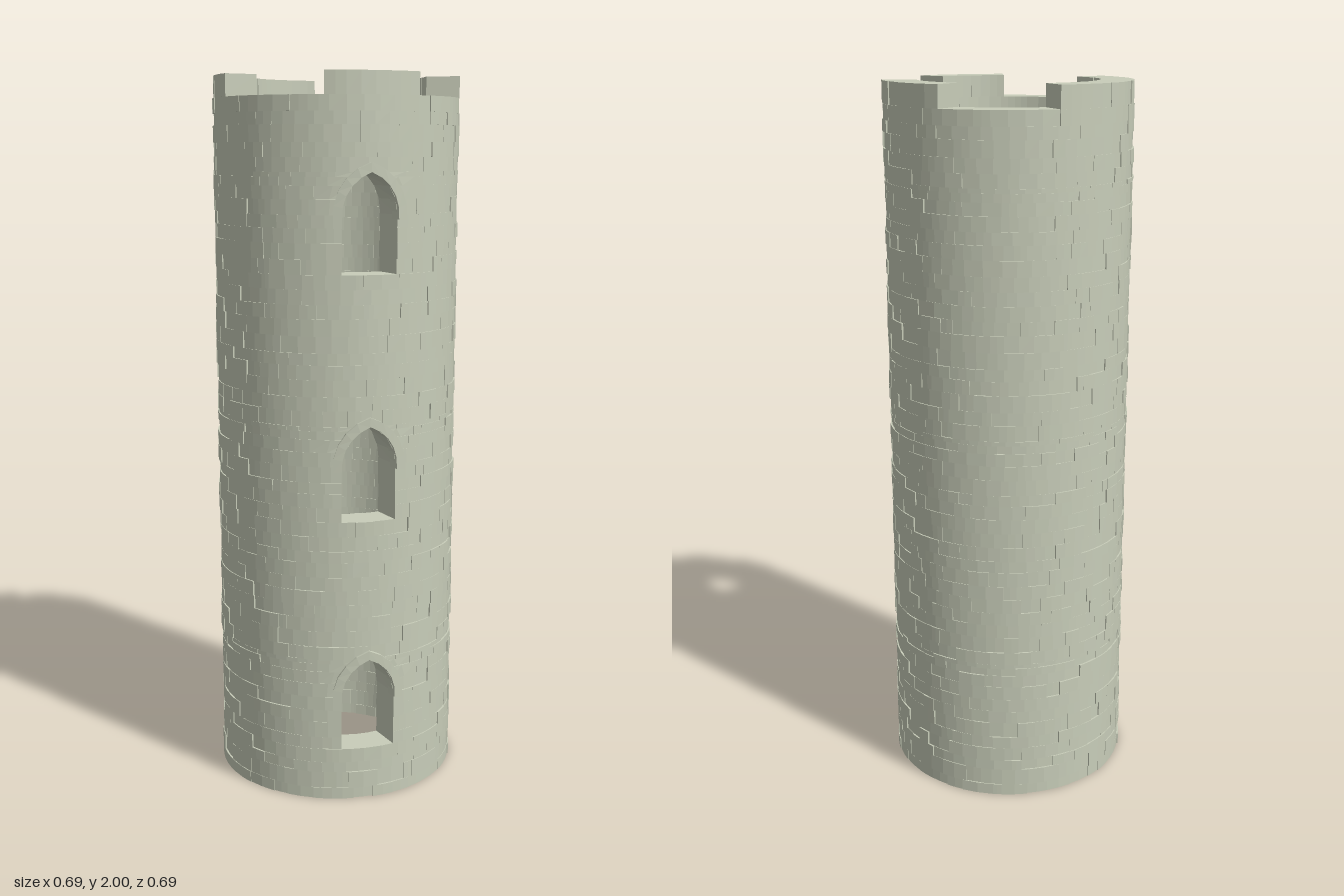
import * as THREE from 'three';
import { mergeGeometries } from 'three/addons/utils/BufferGeometryUtils.js';

const OUTER = 0.345, INNER = 0.25, WALL_TOP = 1.94, TOP = 2;
const RAD = Math.PI / 180;

// Windows: all on one bearing (from +z towards +x), pointed arches
const BEARING = 42.3 * RAD, SILLS = [0.15, 0.81, 1.48];
const HALF = 0.077, SPRING = 0.155, RISE = 0.11, HOOD = 0.024;
const ARC = (RISE * RISE + HALF * HALF) / (2 * HALF), OFFSET = ARC - HALF;

// Raised parts of the parapet, start and end bearing in degrees
const MERLONS = [[22, 67], [114, 168], [221.5, 327.6]];

let seed = 7;
function rand() {
  seed = (seed * 16807) % 2147483647;
  return seed / 2147483647;
}

// Curved block: four [bearing, y] corners, anticlockwise seen from outside
function block([bl, br, tr, tl], rIn, rOut, n = 2) {
  const pos = [], index = [];
  const put = (r, [a, y]) => pos.push(r * Math.sin(a), y, r * Math.cos(a));
  const mix = (p, q, t) => [p[0] + (q[0] - p[0]) * t, p[1] + (q[1] - p[1]) * t];
  for (let i = 0; i <= n; i++) {
    const low = mix(bl, br, i / n), high = mix(tl, tr, i / n);
    put(rOut, low);
    put(rOut, high);
    put(rIn, high);
    put(rIn, low);
  }
  for (let i = 0; i < n; i++) {
    for (let k = 0; k < 4; k++) {
      const a = i * 4 + k, d = i * 4 + (k + 1) % 4, b = a + 4, c = d + 4;
      index.push(a, b, c, a, c, d);
    }
  }
  const e = n * 4;
  index.push(0, 1, 2, 0, 2, 3, e, e + 2, e + 1, e, e + 3, e + 2);
  const g = new THREE.BufferGeometry();
  g.setAttribute('position', new THREE.Float32BufferAttribute(pos, 3));
  g.setIndex(index);
  const flat = g.toNonIndexed();
  flat.computeVertexNormals();
  return flat;
}

// Half-angle of the window opening at height h above its sill
function opening(h) {
  if (h <= SPRING) return HALF / OUTER;
  const up = Math.min(h - SPRING, RISE);
  return Math.max(0, Math.sqrt(ARC * ARC - up * up) - OFFSET) / OUTER;
}

// One row of stones; start and end bearings may differ at bottom and top
function stoneRow(y0, y1, start, end, startTop = start, endTop = end) {
  const stones = [];
  const from = Math.max(start, startTop), to = Math.min(end, endTop);
  const n = Math.max(2, Math.round((to - from) / ((9 + rand() * 4) * RAD)));
  const cuts = [];
  for (let i = 0; i <= n; i++) {
    const jitter = i > 0 && i < n ? (rand() - 0.5) * 0.7 : 0;
    cuts.push(from + (to - from) * (i + jitter) / n);
  }
  for (let i = 0; i < n; i++) {
    const first = i === 0, last = i === n - 1;
    stones.push(block([
      [first ? start : cuts[i], y0], [last ? end : cuts[i + 1], y0],
      [last ? endTop : cuts[i + 1], y1], [first ? startTop : cuts[i], y1],
    ], INNER - 0.003 + rand() * 0.005, OUTER - 0.006 + rand() * 0.006));
  }
  return stones;
}

// Course heights line up with sills, springings and arches
function courseLevels() {
  const fixed = [0];
  for (const s of SILLS) {
    fixed.push(s, s + SPRING, s + SPRING + 0.04, s + SPRING + 0.075, s + SPRING + 0.098, s + SPRING + RISE);
  }
  fixed.push(WALL_TOP);
  const levels = [0];
  for (let i = 1; i < fixed.length; i++) {
    const a = fixed[i - 1], gap = fixed[i] - a;
    const n = Math.max(1, Math.round(gap / 0.041));
    for (let k = 1; k <= n; k++) {
      const jitter = k < n ? (rand() - 0.5) * 0.3 : 0;
      levels.push(a + gap * (k + jitter) / n);
    }
  }
  return levels;
}

// Arched hood of wedge stones above a window
function hoodStones(sill) {
  const stones = [], n = 5;
  const point = (r, t, side) => [
    BEARING + side * (r * Math.cos(t) - OFFSET) / OUTER,
    sill + SPRING + r * Math.sin(t),
  ];
  const inEnd = Math.acos(OFFSET / ARC), outEnd = Math.acos(OFFSET / (ARC + HOOD));
  const angle = (end, i) => -0.1 + (end + 0.1) * i / n;
  for (const side of [1, -1]) {
    for (let i = 0; i < n; i++) {
      const corners = [
        point(ARC, angle(inEnd, i), side), point(ARC + HOOD, angle(outEnd, i), side),
        point(ARC + HOOD, angle(outEnd, i + 1), side), point(ARC, angle(inEnd, i + 1), side),
      ];
      if (side < 0) corners.reverse();
      stones.push(block(corners, OUTER - 0.03, OUTER + 0.007, 1));
    }
  }
  return stones;
}

export function createModel() {
  const tower = new THREE.Group();
  tower.name = 'roundTower';
  const stone = new THREE.MeshStandardMaterial({ color: 0xc8cdb9, flatShading: true });
  const add = (name, stones) => {
    const mesh = new THREE.Mesh(mergeGeometries(stones), stone);
    mesh.name = name;
    tower.add(mesh);
  };

  // Wall courses, broken by the window openings
  const wall = [], levels = courseLevels(), turn = Math.PI * 2;
  for (let i = 1; i < levels.length; i++) {
    const y0 = levels[i - 1], y1 = levels[i], mid = (y0 + y1) / 2;
    const sill = SILLS.find((s) => mid > s && mid < s + SPRING + RISE);
    if (sill === undefined) {
      const a = rand() * turn;
      wall.push(...stoneRow(y0, y1, a, a + turn));
    } else {
      const low = opening(y0 - sill), high = opening(y1 - sill);
      wall.push(...stoneRow(y0, y1, BEARING + low, BEARING + turn - low,
        BEARING + high, BEARING + turn - high));
    }
  }
  add('wall', wall);

  // Parapet
  MERLONS.forEach(([a, b], i) => {
    add('merlon' + (i + 1), stoneRow(WALL_TOP, TOP, a * RAD, b * RAD));
  });

  // Window hoods
  SILLS.forEach((s, i) => add('windowHood' + (i + 1), hoodStones(s)));
  return tower;
}
